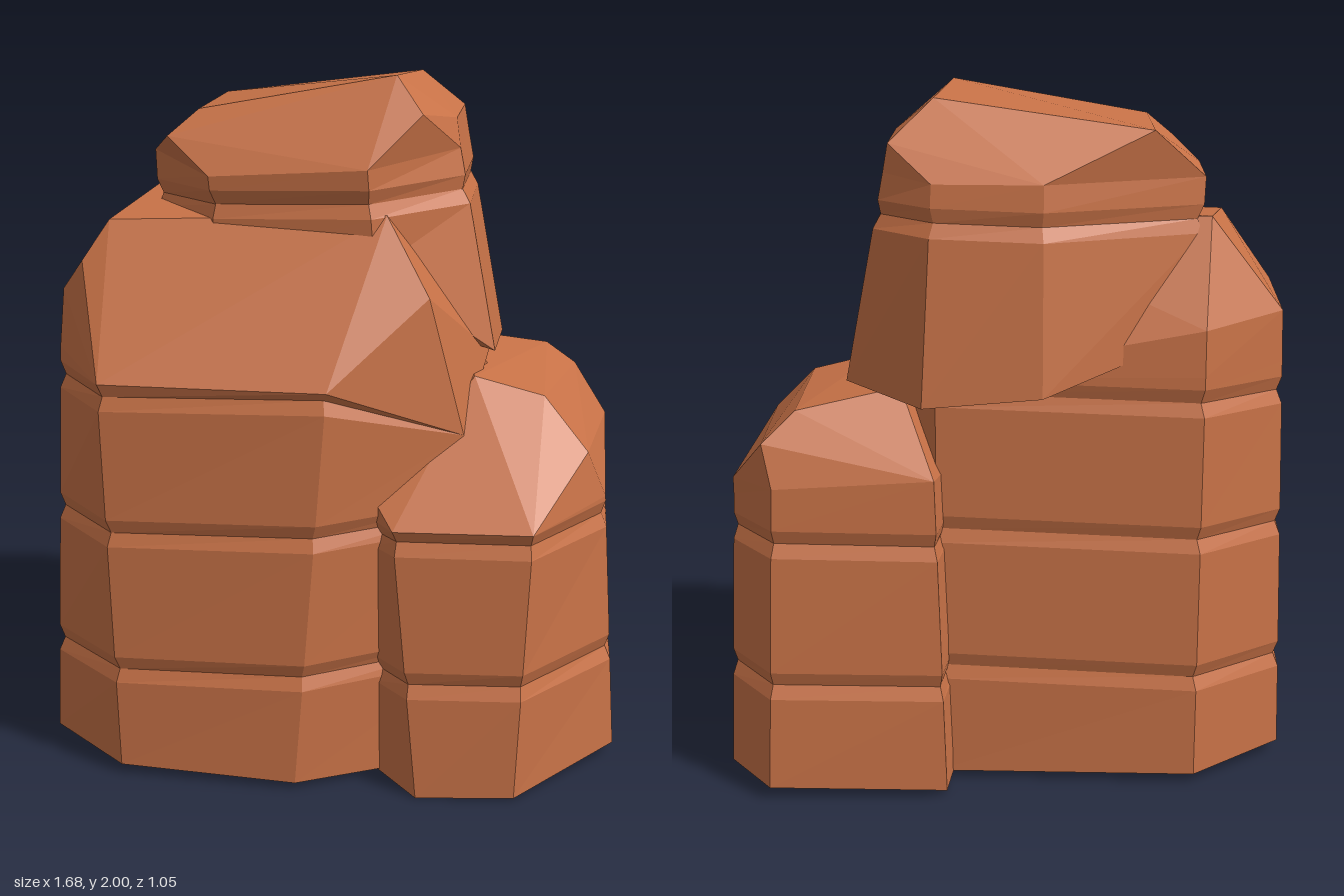
import * as THREE from 'three';
import { ConvexGeometry } from 'three/addons/geometries/ConvexGeometry.js';

const clay = new THREE.MeshStandardMaterial({ color: 0xc87247 });
clay.name = 'red clay stone';

const toVectors = (list) => list.map((p) => new THREE.Vector3(...p));

// Flat-shaded loft through closed rings (counterclockwise from above), closed below
function loft(rings) {
  const pos = [];
  const n = rings[0].length;
  const tri = (...pts) => pts.forEach((p) => pos.push(p.x, p.y, p.z));
  for (let i = 0; i < rings.length - 1; i++) {
    for (let j = 0; j < n; j++) {
      const k = (j + 1) % n;
      tri(rings[i][j], rings[i][k], rings[i + 1][k]);
      tri(rings[i][j], rings[i + 1][k], rings[i + 1][j]);
    }
  }
  for (let j = 1; j < n - 1; j++) tri(rings[0][0], rings[0][j + 1], rings[0][j]);
  const geo = new THREE.BufferGeometry();
  geo.setAttribute('position', new THREE.Float32BufferAttribute(pos, 3));
  geo.computeVertexNormals();
  return geo;
}

// A boulder: tapered body with shallow strata grooves, and a faceted crown
function boulder(name, base, shoulder, crown, grooves) {
  const low = toVectors(base);
  const high = toVectors(shoulder);
  const centre = new THREE.Vector3();
  low.forEach((p) => centre.addScaledVector(p, 1 / low.length));

  const ringAt = (y, inset) => low.map((p, i) => {
    const q = high[i];
    const t = THREE.MathUtils.clamp((y + 0.03 * p.x - p.y) / (q.y - p.y), 0, 1);
    const r = p.clone().lerp(q, t);
    if (t > 0 && t < 1) {
      const inward = new THREE.Vector3(centre.x - r.x, 0, centre.z - r.z).normalize();
      r.addScaledVector(inward, inset);
    }
    return r;
  });

  const rings = [low];
  for (const y of grooves) {
    rings.push(ringAt(y - 0.04, 0), ringAt(y, 0.016), ringAt(y + 0.04, 0));
  }
  rings.push(high);

  const group = new THREE.Group();
  group.name = name;
  const body = new THREE.Mesh(loft(rings), clay);
  body.name = name + 'Body';
  const top = new THREE.Mesh(new ConvexGeometry([...high, ...toVectors(crown)]), clay);
  top.name = name + 'Crown';
  group.add(body, top);
  return group;
}

export function createModel() {
  const model = new THREE.Group();
  model.name = 'rockFormation';

  // Large main rock
  model.add(boulder('mainRock',
    [[-0.84, 0.04, 0.3], [-0.59, 0.03, 0.5], [-0.07, 0.02, 0.52], [0.42, 0.01, 0.25],
      [0.46, 0.01, -0.1], [0.2, 0.02, -0.38], [-0.55, 0.03, -0.41], [-0.82, 0.04, -0.21]],
    [[-0.795, 1.23, 0.24], [-0.62, 1.19, 0.485], [0.02, 1.19, 0.485], [0.38, 1.02, 0.27],
      [0.43, 1.2, 0], [0.2, 1.22, -0.35], [-0.55, 1.23, -0.37], [-0.785, 1.23, -0.19]],
    [[-0.79, 1.39, 0.2], [-0.71, 1.49, 0.27], [-0.64, 1.6, 0.22], [0.15, 1.63, 0.21],
      [0.28, 1.42, 0.3], [0.12, 1.63, -0.15], [-0.57, 1.65, -0.2], [-0.55, 1.36, -0.36],
      [-0.78, 1.38, -0.19]],
    [0.35, 0.77, 1.17]));

  // Lower rock at the side
  model.add(boulder('sideRock',
    [[0.15, 0.01, 0.38], [0.28, 0, 0.52], [0.56, 0.01, 0.5], [0.84, 0.04, 0.18],
      [0.815, 0.04, -0.36], [0.68, 0.04, -0.53], [0.17, 0.02, -0.5], [0.12, 0.01, 0]],
    [[0.135, 0.86, 0.38], [0.2, 0.79, 0.46], [0.59, 0.8, 0.46], [0.785, 0.83, 0.19],
      [0.78, 0.87, -0.33], [0.65, 0.93, -0.47], [0.2, 0.95, -0.45], [0.13, 0.9, 0]],
    [[0.73, 0.97, 0.22], [0.6, 1.11, 0.15], [0.4, 1.16, 0.15], [0.59, 1.13, -0.37],
      [0.3, 1.18, -0.3], [0.68, 1.05, -0.43], [0.78, 0.92, -0.33]],
    [0.33, 0.75]));

  // Overhanging rock resting on top
  model.add(boulder('topRock',
    [[-0.54, 1.5, 0.03], [-0.33, 1.5, 0.22], [0.12, 1.48, 0.24], [0.45, 1.21, 0.05],
      [0.455, 1.19, -0.27], [0.23, 1.17, -0.485], [-0.1, 1.2, -0.49], [-0.53, 1.32, -0.24]],
    [[-0.55, 1.77, 0.02], [-0.35, 1.73, 0.23], [0.1, 1.76, 0.25], [0.335, 1.79, 0],
      [0.335, 1.79, -0.33], [0.2, 1.77, -0.41], [-0.1, 1.77, -0.42], [-0.55, 1.76, -0.2]],
    [[-0.48, 1.83, 0.16], [-0.4, 1.9, 0.1], [0.16, 2, 0.08], [0.24, 1.9, 0.14],
      [0.32, 1.87, -0.04], [0.32, 1.87, -0.34], [0.2, 1.98, -0.25], [-0.4, 1.9, -0.3]],
    [1.66]));

  return model;
}
